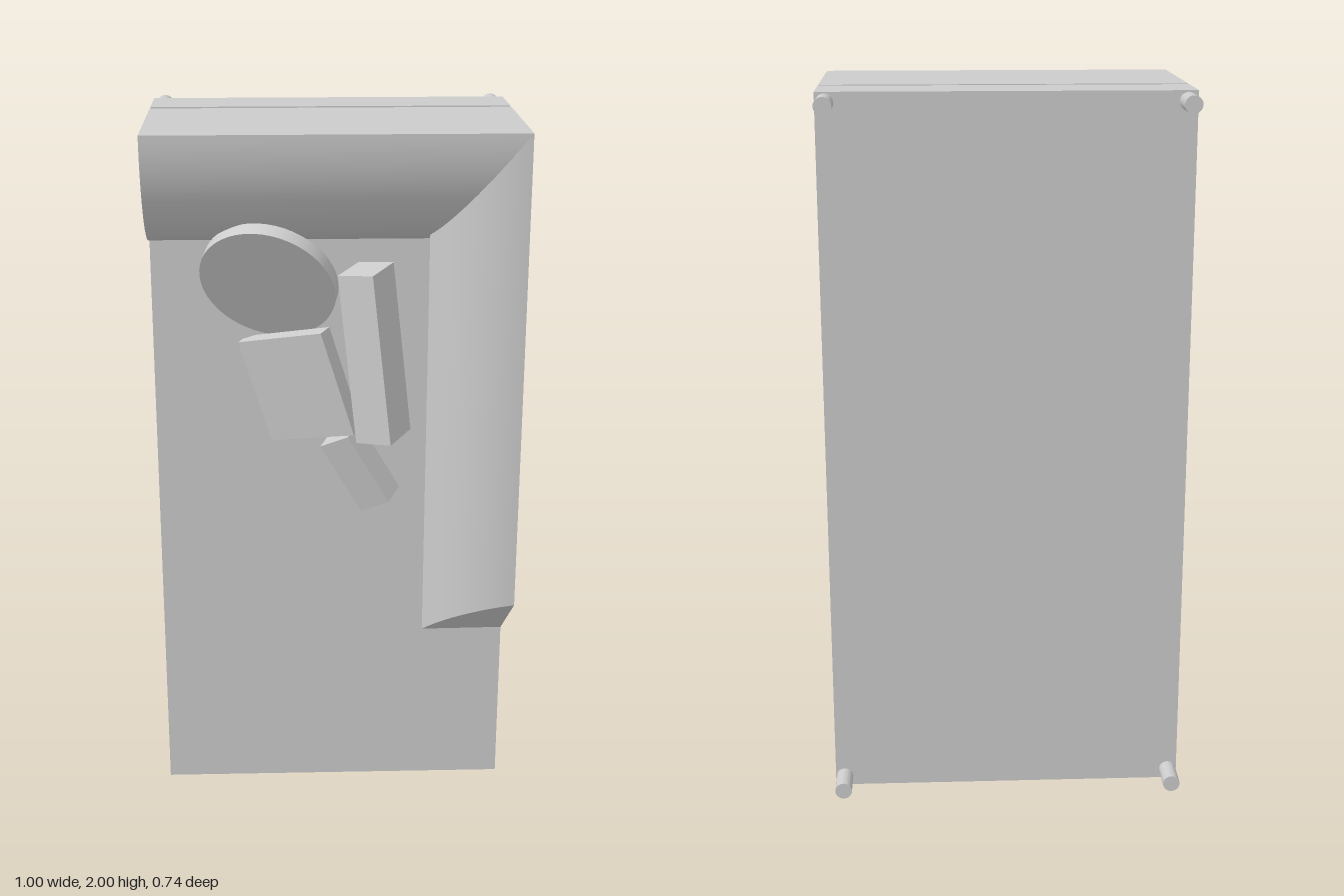
import * as THREE from 'three';
import { toCreasedNormals } from 'three/addons/utils/BufferGeometryUtils.js';

const material = new THREE.MeshStandardMaterial({ color: 0xcccccc });

function add(parent, name, geometry) {
  const mesh = new THREE.Mesh(geometry, material);
  mesh.name = name;
  parent.add(mesh);
  return mesh;
}

// Plate spanning the given z range, inset from the cabinet outline
function slab(parent, name, z0, z1, inset = 0) {
  const g = new THREE.BoxGeometry(1 - 2 * inset, 2 - 2 * inset, z1 - z0);
  add(parent, name, g.translate(0, 1, (z0 + z1) / 2));
}

// Block from the lower left corner of its front face, two face edges and a depth
function block(parent, name, corner, right, up, depth) {
  const a = new THREE.Vector3(...right);
  const b = new THREE.Vector3(...up);
  const n = new THREE.Vector3().crossVectors(a, b).setLength(depth);
  const m = new THREE.Matrix4().makeBasis(a, b, n).setPosition(...corner);
  const g = new THREE.BoxGeometry(1, 1, 1).translate(0.5, 0.5, -0.5);
  add(parent, name, toCreasedNormals(g.applyMatrix4(m), 0.3));
}

export function createModel() {
  const model = new THREE.Group();
  model.name = 'cabinet';

  // Body in two halves with a shallow seam around it
  slab(model, 'backPanel', -0.28, -0.115);
  slab(model, 'seamCore', -0.12, -0.085, 0.006);
  slab(model, 'frontPanel', -0.09, 0.1);

  // Rounded canopy along the top, quarter-ellipse section
  const canopyShape = new THREE.Shape();
  canopyShape.moveTo(-0.05, 2);
  canopyShape.lineTo(-0.345, 2);
  for (let i = 1; i <= 24; i++) {
    const t = (i / 24) * Math.PI / 2;
    canopyShape.lineTo(-0.1 - 0.245 * Math.cos(t), 2 - 0.32 * Math.sin(t));
  }
  canopyShape.lineTo(-0.05, 1.68);
  const canopy = new THREE.ExtrudeGeometry(canopyShape, { depth: 1, bevelEnabled: false });
  canopy.rotateY(Math.PI / 2).translate(-0.5, 0, 0);
  add(model, 'canopy', toCreasedNormals(canopy, 0.5));

  // Curved side post, a sector hinged on the front corner of the body
  const postShape = new THREE.Shape();
  postShape.moveTo(0.5, -0.1);
  const radius = 0.28, sweep = Math.asin(0.245 / radius);
  for (let i = 0; i <= 20; i++) {
    const t = (i / 20) * sweep;
    postShape.lineTo(0.5 - radius * Math.sin(t), -(0.065 + radius * Math.cos(t)));
  }
  const post = new THREE.ExtrudeGeometry(postShape, { depth: 1.99, bevelEnabled: false });
  post.rotateX(-Math.PI / 2);
  // Slope the lower end of the post
  const p = post.attributes.position;
  for (let i = 0; i < p.count; i++) {
    if (p.getY(i) < 0.5) {
      p.setY(i, 0.49 + 0.776 * (p.getZ(i) - 0.1) - 0.12 * (0.5 - p.getX(i)));
    }
  }
  add(model, 'sidePost', toCreasedNormals(post, 0.5));

  // Four pegs on the back corners
  for (const x of [-0.474, 0.474]) {
    for (const y of [0.028, 1.972]) {
      const g = new THREE.CylinderGeometry(0.024, 0.024, 0.1, 20);
      add(model, 'backPeg', g.rotateX(Math.PI / 2).translate(x, y, -0.32));
    }
  }

  // Tilted disc and blocks in front of the panel
  const figure = new THREE.Group();
  figure.name = 'frontFigure';
  model.add(figure);
  const normal = new THREE.Vector3(-0.25, -0.5, 0.83).normalize();
  const disc = add(figure, 'disc',
    new THREE.CylinderGeometry(0.188, 0.188, 0.04, 48).translate(0, -0.02, 0));
  disc.quaternion.setFromUnitVectors(new THREE.Vector3(0, 1, 0), normal);
  disc.position.set(-0.182, 1.575, 0.215);

  block(figure, 'torsoBlock', [-0.175, 1.1, 0.12], [0.225, 0.07, 0.16], [-0.09, 0.29, 0], 0.045);
  block(figure, 'armBlock', [0.145, 1.17, 0.365], [0.06, 0.015, -0.09], [-0.05, 0.46, -0.03], 0.11);
  block(figure, 'legBlock', [0.075, 0.91, 0.19], [0.075, 0.045, 0.05], [-0.115, 0.195, 0], 0.08);

  return model;
}
